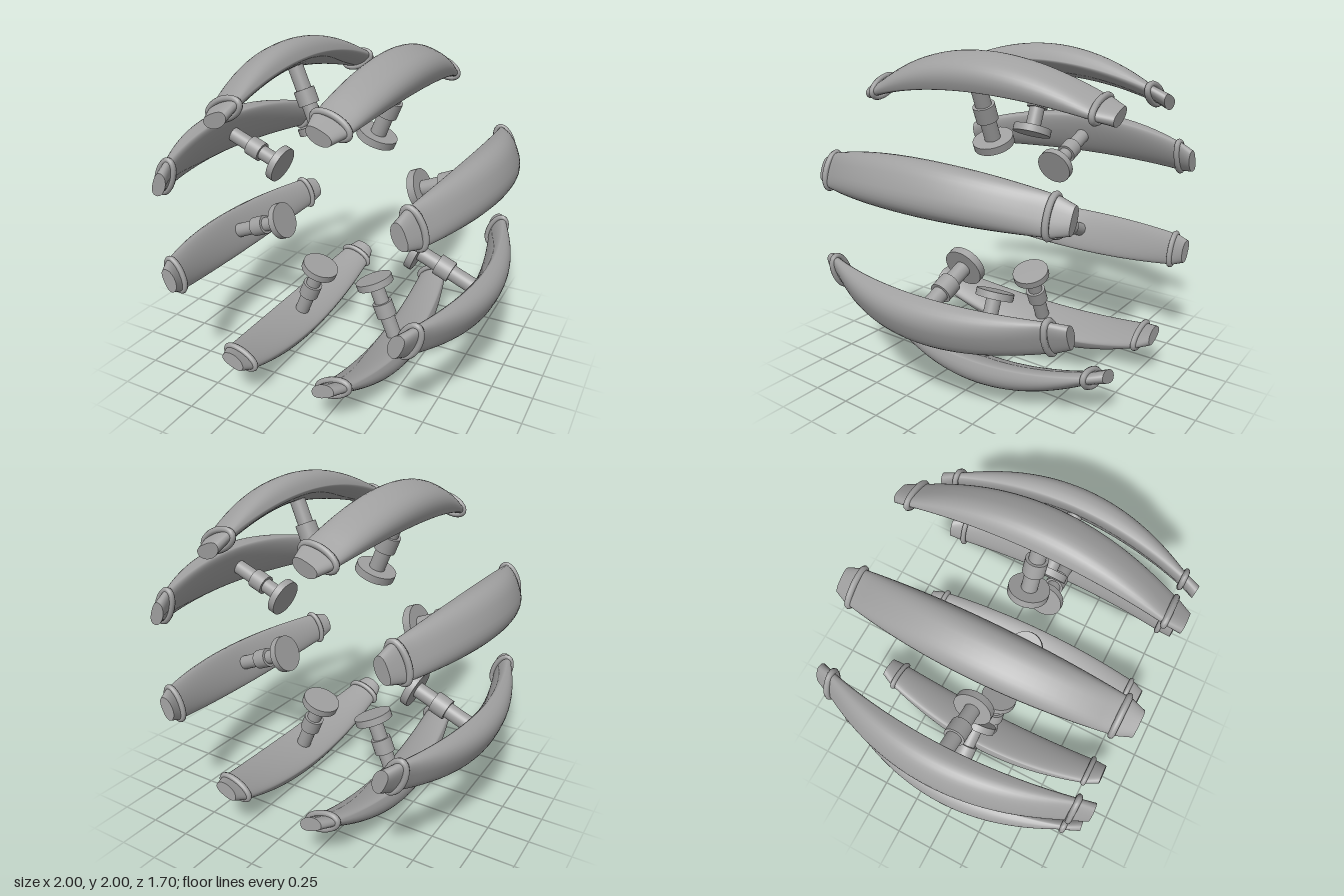
import * as THREE from 'three';

const SIDES = 36;
const CENTRE_Y = 1;

// Half width, widest radius, outer and inner heights of a pod section at distance z
function section(z) {
  const d = Math.abs(z);
  const tip = Math.max(0, (d - 0.77) / 0.08);
  return {
    w: 0.147 - 0.08 * d * d - 0.018 * tip,
    r: 0.925 - 0.2 * d * d - 0.006 * tip,
    outer: Math.max(0.133 - 0.18 * d * d, 0.034),
    inner: 0.03 + 0.017 * d,
  };
}

// One ring of points: domed outside, gently rounded inside
function ring(z) {
  const s = section(z), points = [];
  for (let j = 0; j < SIDES; j++) {
    const a = (j / SIDES) * Math.PI * 2;
    const c = Math.cos(a), n = Math.sin(a);
    const e = n > 0 ? 2 / 2.6 : 1;
    const x = s.w * Math.sign(c) * Math.abs(c) ** e;
    const y = n > 0 ? s.outer * n ** e : s.inner * n;
    // the end faces lean slightly
    const lean = Math.abs(z) > 0.84 ? Math.sign(z) * y * 0.12 : 0;
    points.push([x, s.r + y, z + lean]);
  }
  return points;
}

// Curved pod, lofted along z with flat end caps
function podGeometry() {
  const stations = [-0.845, -0.77];
  for (let i = 1; i < 28; i++) stations.push(-0.77 + (i / 28) * 1.54);
  stations.push(0.77, 0.845);
  const pos = [], index = [];
  stations.forEach((z) => ring(z).forEach((p) => pos.push(...p)));
  for (let i = 0; i < stations.length - 1; i++) {
    for (let j = 0; j < SIDES; j++) {
      const k = (j + 1) % SIDES;
      const a = i * SIDES + j, b = i * SIDES + k;
      index.push(a, b, a + SIDES, b, b + SIDES, a + SIDES);
    }
  }
  for (const z of [-0.845, 0.845]) {
    const start = pos.length / 3;
    ring(z).forEach((p) => pos.push(...p));
    pos.push(0, section(z).r, z);
    for (let j = 0; j < SIDES; j++) {
      const a = start + j, b = start + ((j + 1) % SIDES), c = start + SIDES;
      if (z > 0) index.push(c, a, b);
      else index.push(c, b, a);
    }
  }
  const geo = new THREE.BufferGeometry();
  geo.setAttribute('position', new THREE.Float32BufferAttribute(pos, 3));
  geo.setIndex(index);
  geo.computeVertexNormals();
  return geo;
}

// Oval band that hugs the pod near its ends
class OvalCurve extends THREE.Curve {
  getPoint(t, target = new THREE.Vector3()) {
    const a = t * Math.PI * 2;
    return target.set(0.105 * Math.cos(a), 0.81 + 0.05 * Math.sin(a), 0);
  }
}

export function createModel() {
  const model = new THREE.Group();
  model.name = 'radialPods';
  const grey = new THREE.MeshStandardMaterial({ color: 0xa0a0a0 });
  grey.name = 'grey';

  const podGeo = podGeometry();
  const bandGeo = new THREE.TubeGeometry(new OvalCurve(), 40, 0.018, 8, true);

  // Cylinder between two radii
  const rod = (name, radius, from, to) => {
    const geo = new THREE.CylinderGeometry(radius, radius, to - from, 32);
    geo.translate(0, (from + to) / 2, 0);
    return { name, geo };
  };
  const rods = [
    rod('footDisc', 0.119, 0.495, 0.54),
    rod('stem', 0.047, 0.535, 0.93),
    rod('collar', 0.064, 0.66, 0.755),
  ];

  for (let i = 0; i < 8; i++) {
    const arm = new THREE.Group();
    arm.name = 'arm' + (i + 1);
    const add = (name, geo, z = 0) => {
      const mesh = new THREE.Mesh(geo, grey);
      mesh.name = name;
      mesh.position.z = z;
      arm.add(mesh);
    };
    add('pod', podGeo);
    add('frontBand', bandGeo, 0.748);
    add('backBand', bandGeo, -0.748);
    rods.forEach((r) => add(r.name, r.geo));
    arm.position.y = CENTRE_Y;
    arm.rotation.z = ((i + 0.5) * Math.PI) / 4;
    model.add(arm);
  }
  return model;
}
